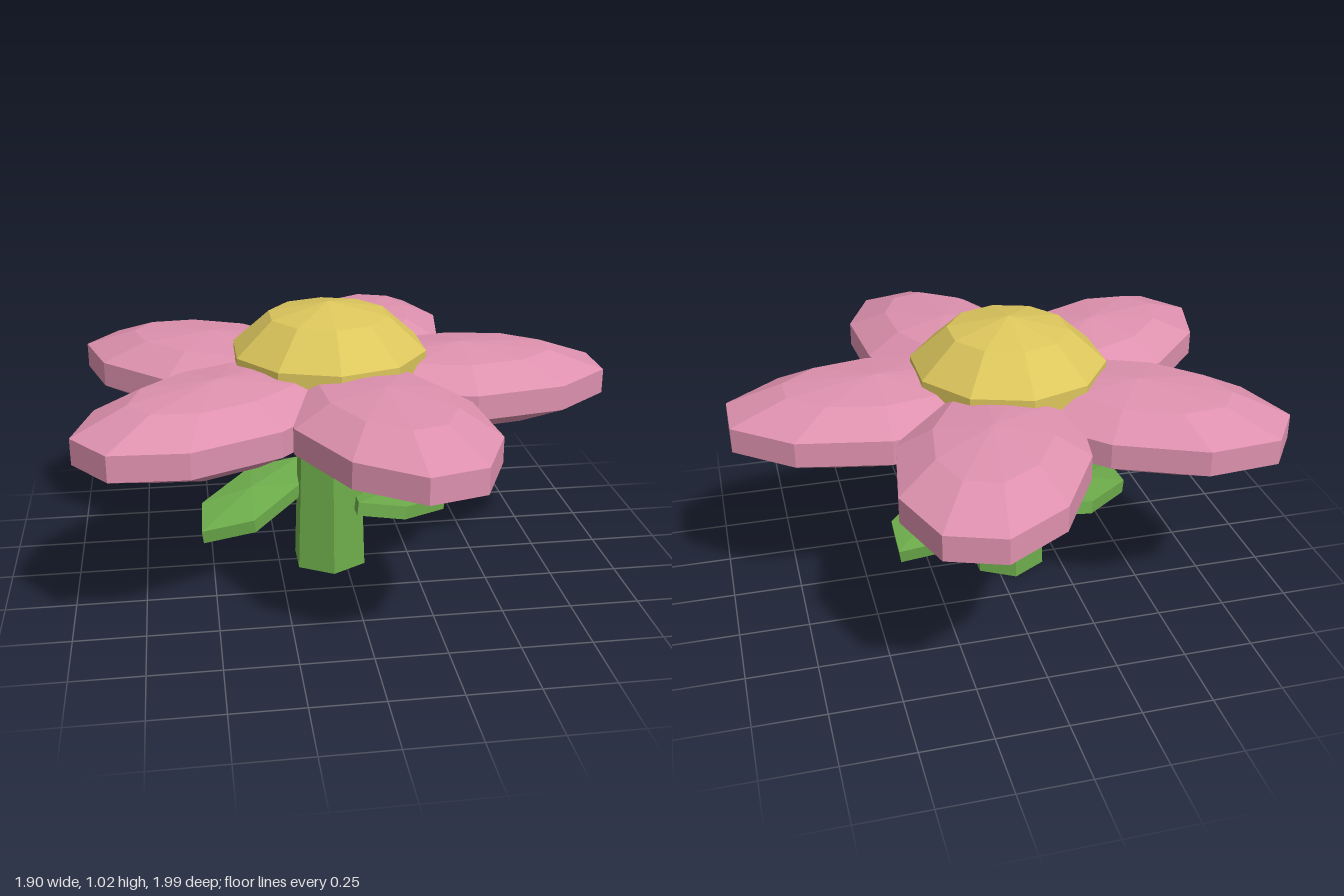
import * as THREE from 'three';

export function createModel() {
  const flower = new THREE.Group();
  flower.name = 'flower';

  const material = (name, color) => {
    const m = new THREE.MeshStandardMaterial({ color, flatShading: true });
    m.name = name;
    return m;
  };
  const pink = material('petalPink', 0xde91ae);
  const yellow = material('centreYellow', 0xdcc65c);
  const green = material('leafGreen', 0x6dac4b);

  const add = (name, geometry, mat, x, y, z) => {
    const mesh = new THREE.Mesh(geometry, mat);
    mesh.name = name;
    mesh.position.set(x, y, z);
    flower.add(mesh);
    return mesh;
  };

  // Faceted ellipsoid, turned so that a chosen corner or edge faces +x
  const ellipsoid = (a, h, b, sides, rings, turn) =>
    new THREE.SphereGeometry(1, sides, rings).rotateY(turn).scale(a, h, b);

  const cx = -0.055;

  // Stem: tapered hexagonal post
  add('stem', new THREE.CylinderGeometry(0.122, 0.145, 0.62, 6), green, cx, 0.31, 0);

  // Flower centre: squashed ball
  add('flowerCentre', ellipsoid(0.373, 0.24, 0.373, 10, 5, Math.PI / 10), yellow, cx, 0.78, 0);

  // Petals: x, z and heading in degrees
  const petal = ellipsoid(0.578, 0.145, 0.342, 10, 5, Math.PI / 10);
  [
    [0.427, 0, 0],
    [0.12, -0.475, 70],
    [-0.456, -0.264, 145.5],
    [-0.468, 0.301, 216.2],
    [0.078, 0.46, 285.2],
  ].forEach(([x, z, deg], i) => {
    add(`petal${i + 1}`, petal, pink, x, 0.705, z).rotation.y = THREE.MathUtils.degToRad(deg);
  });

  // Leaves: thin drooping blades between a root and a tip
  const leaf = (name, root, tip) => {
    const a = new THREE.Vector3(...root);
    const d = new THREE.Vector3(...tip).sub(a);
    const half = d.length() / 2 / Math.sin(Math.PI / 3);
    const c = a.addScaledVector(d, 0.5);
    const mesh = add(name, ellipsoid(half, 0.05, 0.17, 6, 3, 0), green, c.x, c.y, c.z);
    mesh.rotation.set(0, Math.atan2(-d.z, d.x), Math.atan2(d.y, Math.hypot(d.x, d.z)), 'YZX');
  };
  leaf('leftLeaf', [0.03, 0.275, 0.17], [0.395, 0.18, -0.17]);
  leaf('rightLeaf', [-0.145, 0.32, -0.2], [-0.54, 0.215, 0.205]);

  return flower;
}
